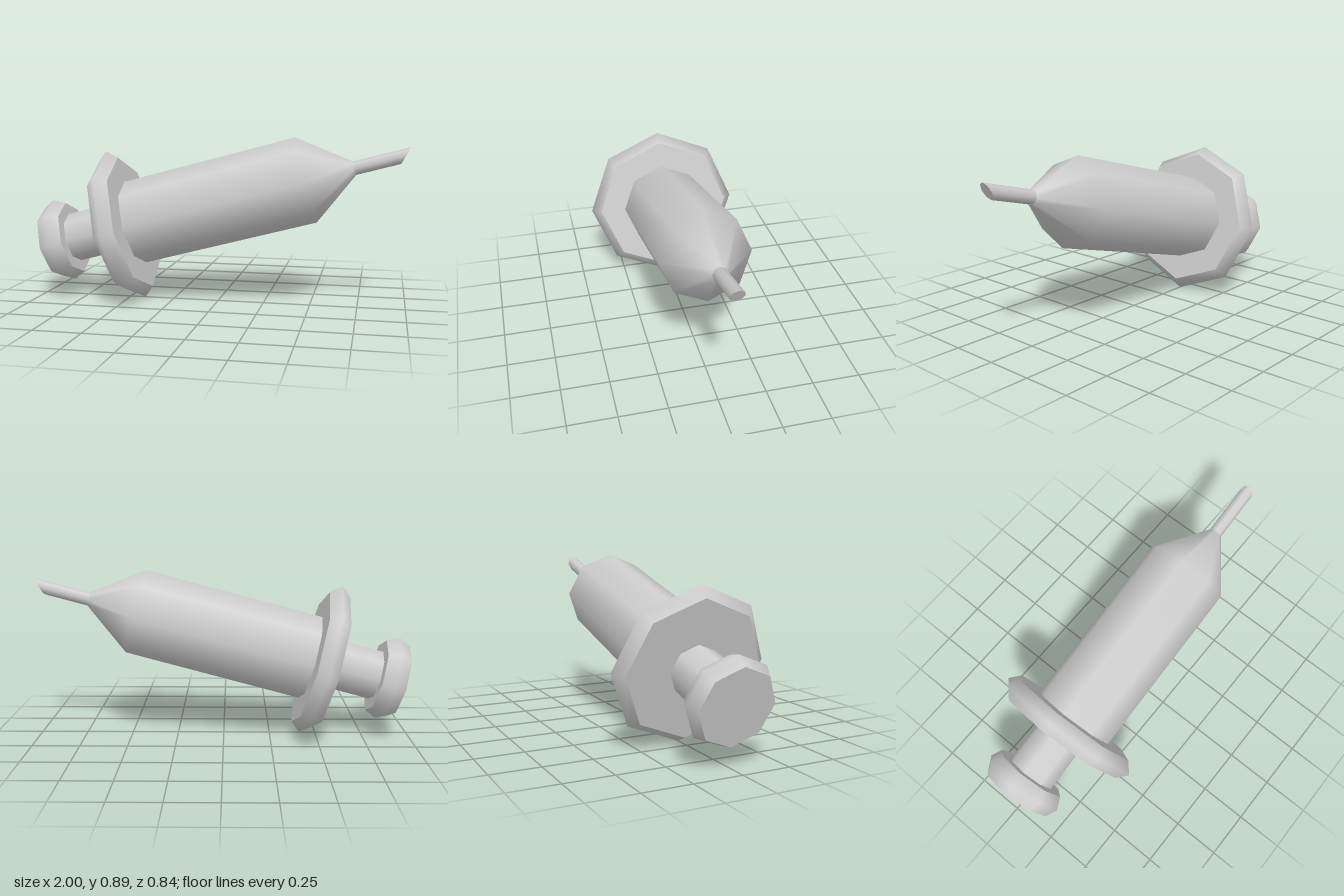
import * as THREE from 'three';

const SIDES = 8;
const grey = new THREE.MeshStandardMaterial({ color: 0xcccccc });
grey.name = 'light grey';

// One smooth run of an eight-sided turned profile, given as [radius, distance along axis]
function turned(...points) {
  return new THREE.LatheGeometry(points.map(([r, s]) => new THREE.Vector2(r, s)), SIDES);
}

// A part made of smooth runs that meet at sharp edges
function part(name, ...geometries) {
  const group = new THREE.Group();
  group.name = name;
  for (const g of geometries) {
    const mesh = new THREE.Mesh(g, grey);
    mesh.name = name + 'Surface';
    group.add(mesh);
  }
  return group;
}

// Disc with a ridged rim and flat faces
function disc(name, s0, s1, faceRadius, rimRadius) {
  return part(name,
    turned([0, s0], [faceRadius, s0]),
    turned([faceRadius, s0], [rimRadius, (s0 + s1) / 2], [faceRadius, s1]),
    turned([faceRadius, s1], [0, s1]));
}

// Shear the needle's far end into a slanted point
function slant(geometry, from, radius, amount) {
  const p = geometry.attributes.position;
  for (let i = 0; i < p.count; i++) {
    if (p.getY(i) > from) p.setY(i, p.getY(i) - (p.getX(i) / radius) * amount);
  }
  return geometry;
}

export function createModel() {
  const model = new THREE.Group();
  model.name = 'syringe';

  const body = new THREE.Group();
  body.name = 'tiltedBody';
  body.position.y = 0.552;
  body.rotation.z = THREE.MathUtils.degToRad(-75);
  model.add(body);

  // Plunger
  body.add(disc('plungerKnob', -0.982, -0.854, 0.2, 0.231));
  body.add(part('plungerRod', turned([0.135, -0.86], [0.135, -0.59])));

  // Finger flange
  body.add(disc('flange', -0.597, -0.484, 0.369, 0.419));

  // Barrel tapering into the nozzle
  body.add(part('barrel', turned([0.231, -0.49], [0.231, 0.487], [0.037, 0.745])));

  // Needle with a slanted tip
  const r = 0.036;
  const tip = slant(turned([r, 1.011], [0, 1.011]), 0.9, r, 0.033);
  tip.computeVertexNormals();
  body.add(part('needle', slant(turned([r, 0.74], [r, 1.011]), 0.9, r, 0.033), tip));

  return model;
}
